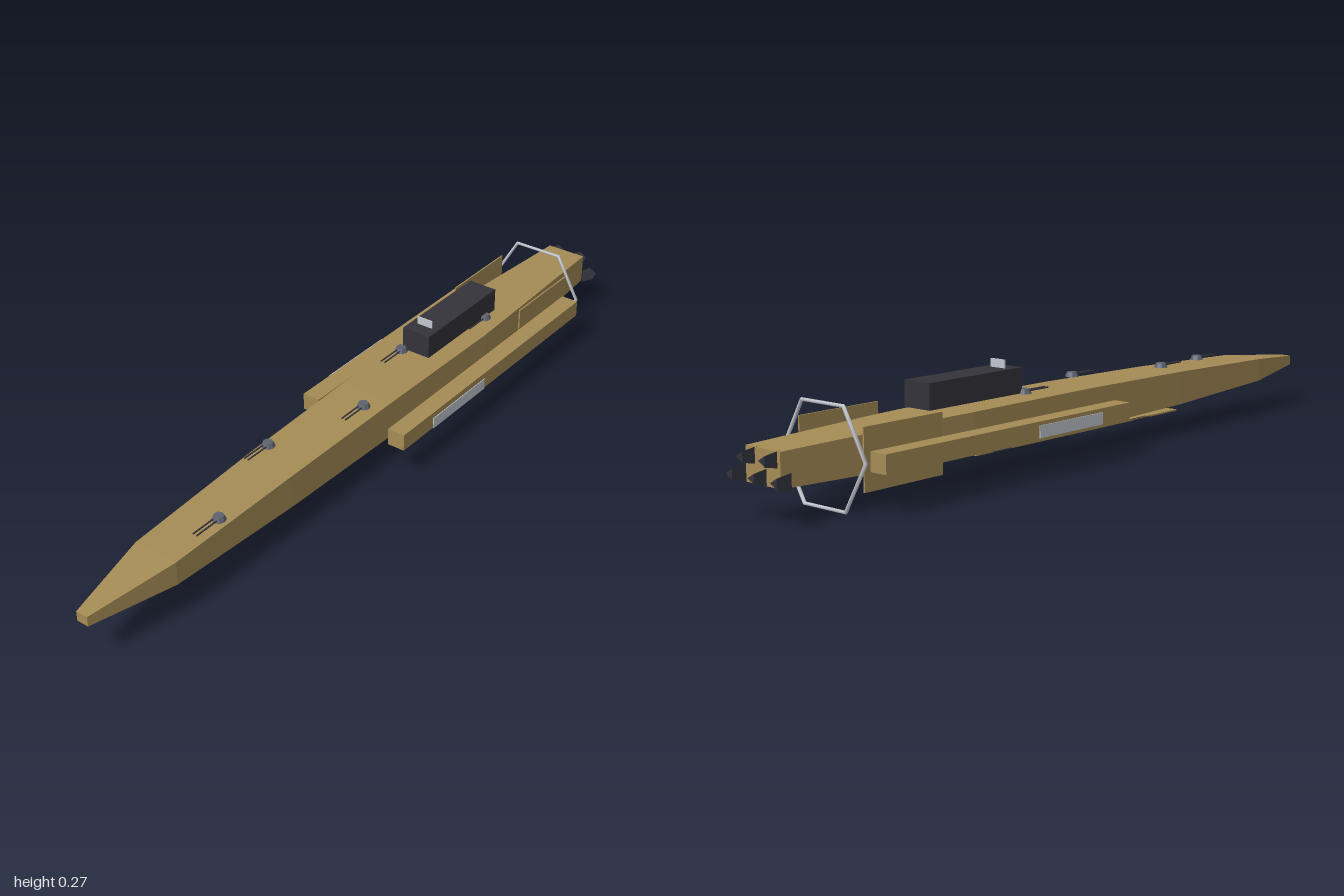
import * as THREE from 'three';

const mat = (name, color, extra = {}) => {
  const m = new THREE.MeshStandardMaterial({ color, ...extra });
  m.name = name;
  return m;
};

// Rectangular hull lofted through [z, halfWidth, bottom, top] sections
function hullGeometry(sections) {
  const pos = [], idx = [];
  for (const [z, w, b, t] of sections) pos.push(-w, b, z, w, b, z, w, t, z, -w, t, z);
  const last = (sections.length - 1) * 4;
  for (let s = 0; s < last; s += 4) {
    for (let i = 0; i < 4; i++) {
      const a = s + i, b = s + (i + 1) % 4;
      idx.push(a, a + 4, b, b, a + 4, b + 4);
    }
  }
  idx.push(0, 1, 2, 0, 2, 3, last, last + 2, last + 1, last, last + 3, last + 2);
  const g = new THREE.BufferGeometry();
  g.setAttribute('position', new THREE.Float32BufferAttribute(pos, 3));
  g.setIndex(idx);
  const flat = g.toNonIndexed();
  flat.computeVertexNormals();
  return flat;
}

export function createModel() {
  const root = new THREE.Group();
  root.name = 'spaceship';
  const tan = mat('tan hull', 0xa68c56);
  const dark = mat('charcoal', 0x35333b);
  const light = mat('light grey', 0xc2c7cf);
  const steel = mat('turret grey', 0x5c626e, { flatShading: true });
  const engineMat = mat('engine dark', 0x33343c, { flatShading: true });

  const add = (name, geo, material, x = 0, y = 0, z = 0, parent = root) => {
    const m = new THREE.Mesh(geo, material);
    m.name = name;
    m.position.set(x, y, z);
    parent.add(m);
    return m;
  };
  const box = (w, h, d) => new THREE.BoxGeometry(w, h, d);

  // Main hull, nose first
  add('hull', hullGeometry([
    [1, 0.016, 0.11, 0.136],
    [0.77, 0.06, 0.094, 0.156],
    [0.38, 0.07, 0.079, 0.167],
    [0, 0.076, 0.073, 0.172],
    [-0.42, 0.082, 0.073, 0.172],
    [-0.6, 0.075, 0.075, 0.17],
    [-0.97, 0.056, 0.083, 0.162],
  ]), tan);

  // Side pods, outer panels and tall rear plates
  for (const s of [-1, 1]) {
    add('sidePod', box(0.048, 0.045, 0.825), tan, s * 0.133, 0.116, -0.357);
    add('podPanel', box(0.002, 0.03, 0.23), light, s * 0.165, 0.116, -0.175);
    add('rearPlate', box(0.004, 0.143, 0.235), tan, s * 0.104, 0.1215, -0.667);
  }

  // Hexagonal ring around the stern
  add('sternRing', new THREE.TorusGeometry(0.1335, 0.0048, 6, 6), light, 0, 0.1205, -0.805);

  // Dorsal block with a small upright plate
  add('dorsalBlock', box(0.081, 0.063, 0.31), dark, -0.001, 0.2155, -0.37);
  add('sensorPlate', box(0.045, 0.022, 0.003), light, -0.001, 0.257, -0.255);

  // Keel plate
  add('keelPlate', box(0.072, 0.004, 0.78), tan, -0.001, 0.056, 0.02);

  const barrel = new THREE.CylinderGeometry(0.002, 0.002, 0.066, 6).rotateX(Math.PI / 2);
  const barrels = (x, y, z, parent) => {
    for (const s of [-1, 1]) add('barrel', barrel, dark, x + s * 0.0055, y, z, parent);
  };

  // Twin-barrel turrets alternating along the top
  const base = new THREE.CylinderGeometry(0.013, 0.018, 0.012, 8);
  [[0.04, 0.17, 0.605], [-0.04, 0.188, 0.335], [0.04, 0.188, 0.065],
    [-0.04, 0.188, -0.205], [0.04, 0.188, -0.475]].forEach(([x, y, z]) => {
    const turret = new THREE.Group();
    turret.name = 'turret';
    turret.position.set(x, y, z);
    root.add(turret);
    add('turretBase', base, steel, 0, 0, 0, turret);
    barrels(0, 0, 0.047, turret);
  });

  // Paired guns under the hull
  [[0.04, 0.075, 0.513], [-0.04, 0.057, 0.245], [0.04, 0.057, -0.022],
    [-0.04, 0.057, -0.29]].forEach(([x, y, z]) => barrels(x, y, z, root));

  // Five three-sided nozzles in a zigzag, corner toward +x
  const nozzle = new THREE.CylinderGeometry(0.014, 0.022, 0.036, 3)
    .rotateY(Math.PI / 2).rotateX(Math.PI / 2).rotateY(Math.PI);
  nozzle.computeBoundingBox();
  if (nozzle.boundingBox.max.x < 0.02) nozzle.rotateZ(Math.PI);
  for (let i = -2; i <= 2; i++) {
    add('engineNozzle', nozzle, engineMat, i * 0.036, i % 2 ? 0.144 : 0.102, -0.982);
  }
  return root;
}
